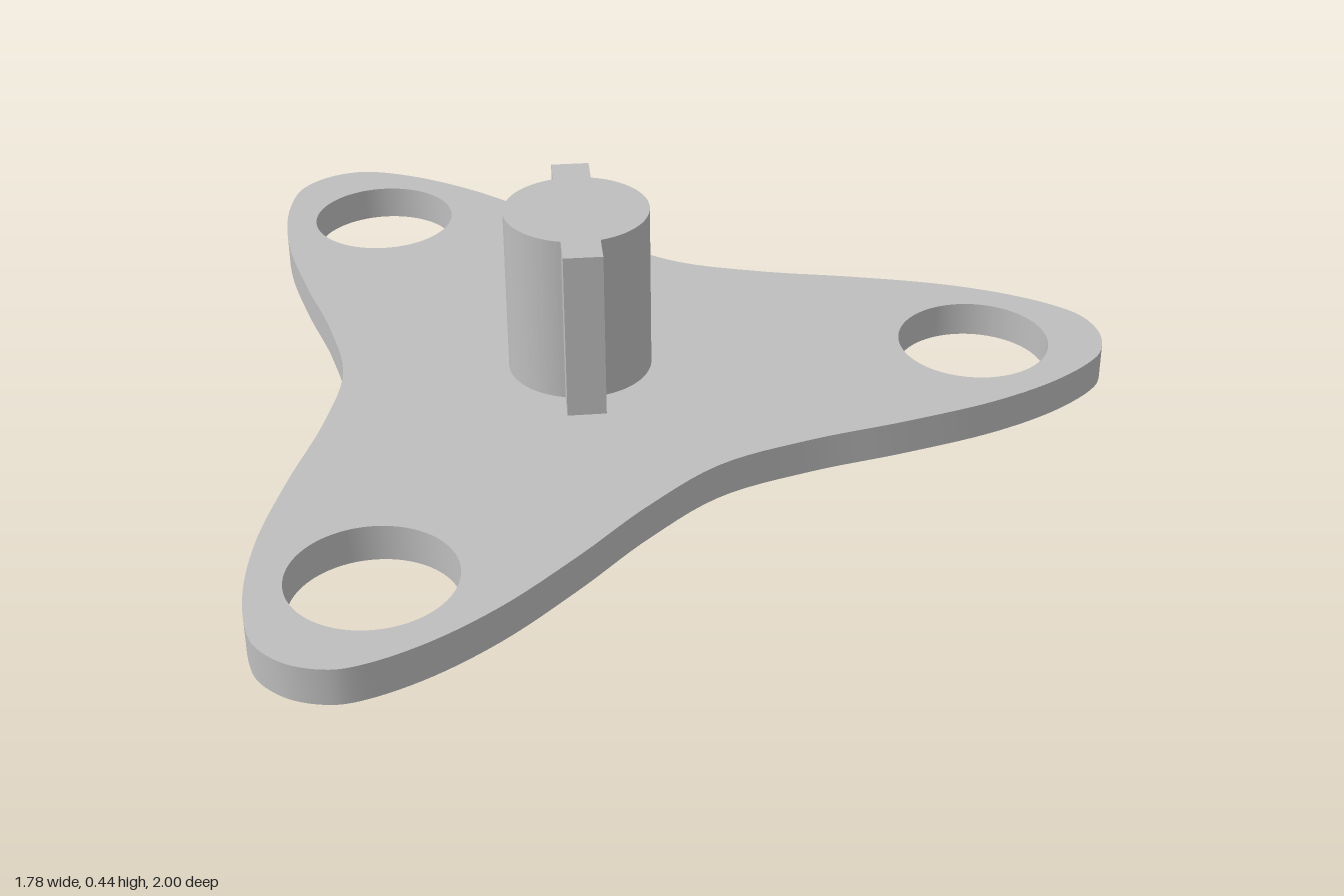
import * as THREE from 'three';
import { toCreasedNormals } from 'three/addons/utils/BufferGeometryUtils.js';

const HUB_X = -0.24;
const PLATE = 0.076;
const TOP = 0.436;

// Extrude a plan shape upwards, smooth around curves and sharp at edges
function slab(shape, bottom, top) {
  const geometry = new THREE.ExtrudeGeometry(shape, {
    depth: top - bottom, bevelEnabled: false, curveSegments: 48,
  });
  geometry.rotateX(-Math.PI / 2);
  geometry.translate(HUB_X, bottom, 0);
  return toCreasedNormals(geometry, Math.PI / 6);
}

// Three-armed outline: one arm from waist to tip to waist, repeated by rotation
function plateShape() {
  const half = [
    [0.25, 0.433], [0.44, 0.363], [0.64, 0.315], [0.84, 0.256],
    [0.986, 0.187], [1.08, 0.117], [1.113, 0.074],
  ];
  const arm = [
    ...half.slice(1).reverse().map(([x, y]) => [x, -y]).reverse(),
    [1.13, 0],
    ...half.slice().reverse(),
  ];
  const points = [];
  const holes = [];
  for (let i = 0; i < 3; i++) {
    const angle = (i * Math.PI * 2) / 3;
    const c = Math.cos(angle), s = Math.sin(angle);
    for (const [x, y] of arm) points.push(new THREE.Vector3(x * c - y * s, x * s + y * c, 0));
    const hole = new THREE.Path();
    hole.absarc(0.85 * c, 0.85 * s, 0.161, 0, Math.PI * 2, true);
    holes.push(hole);
  }
  const curve = new THREE.CatmullRomCurve3(points, true, 'centripetal');
  const outline = curve.getPoints(240).slice(0, -1).map((p) => new THREE.Vector2(p.x, p.y));
  const shape = new THREE.Shape(outline);
  shape.holes.push(...holes);
  return shape;
}

// Round post with a square key on two opposite sides
function hubShape() {
  const r = 0.151, w = 0.04, reach = 0.219;
  const a = Math.acos(w / r);
  const shape = new THREE.Shape();
  shape.absarc(0, 0, r, -a, a, false);
  shape.lineTo(w, reach);
  shape.lineTo(-w, reach);
  shape.absarc(0, 0, r, Math.PI - a, Math.PI + a, false);
  shape.lineTo(-w, -reach);
  shape.lineTo(w, -reach);
  shape.closePath();
  return shape;
}

export function createModel() {
  const grey = new THREE.MeshStandardMaterial({ color: 0xbebebe });
  grey.name = 'grey';
  const group = new THREE.Group();
  group.name = 'threeArmedKnob';

  const plate = new THREE.Mesh(slab(plateShape(), 0, PLATE), grey);
  plate.name = 'plate';
  const hub = new THREE.Mesh(slab(hubShape(), PLATE, TOP), grey);
  hub.name = 'keyedHub';
  group.add(plate, hub);
  return group;
}
